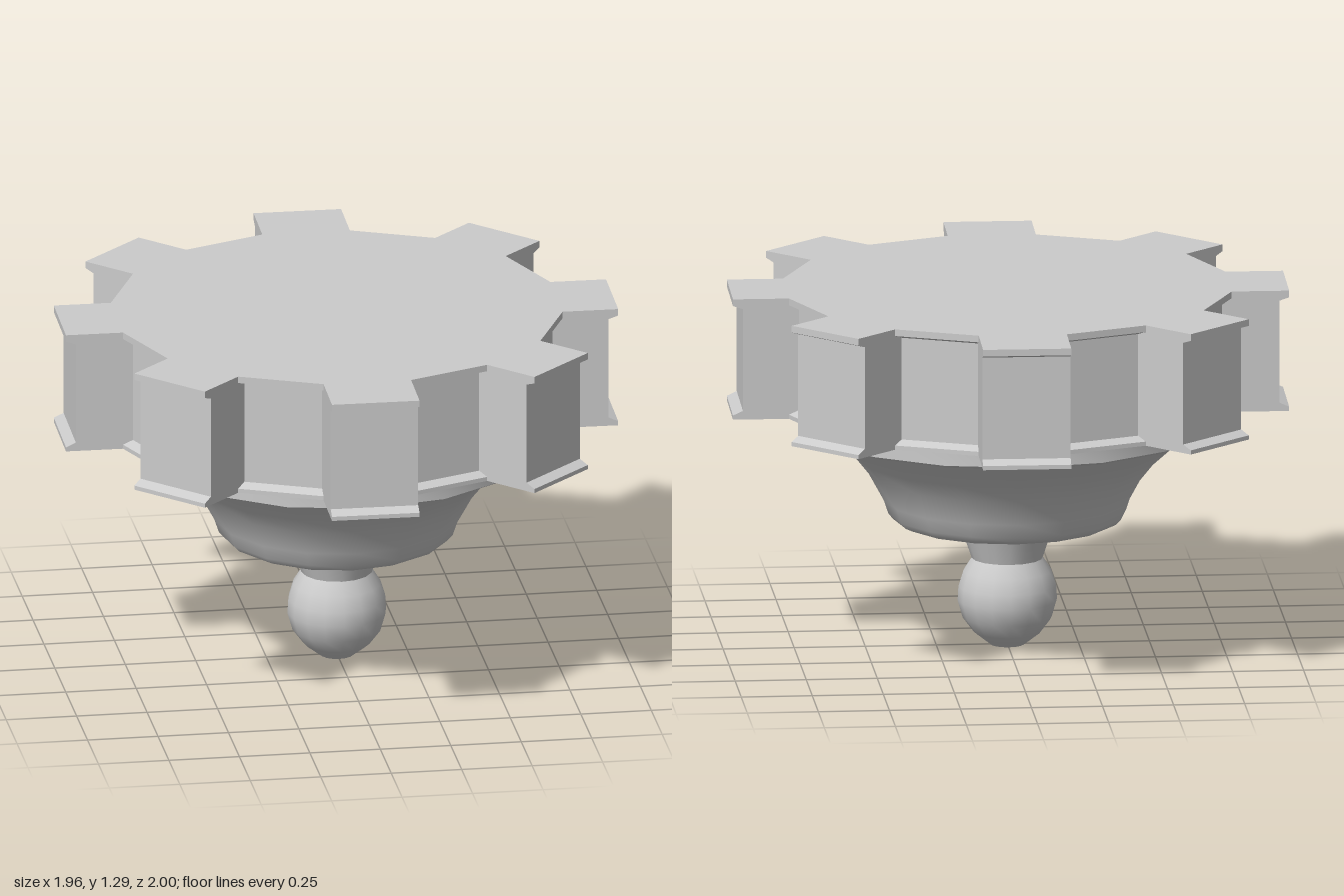
import * as THREE from 'three';
import { toCreasedNormals } from 'three/addons/utils/BufferGeometryUtils.js';

const material = new THREE.MeshStandardMaterial({ color: 0xcccccc });

function addMesh(group, name, geometry) {
  const mesh = new THREE.Mesh(geometry, material);
  mesh.name = name;
  group.add(mesh);
}

// Turned part, profile listed from bottom to top as [radius, y]
function turned(profile, sides = 16, crease = 0.6) {
  const points = profile.map(([r, y]) => new THREE.Vector2(r, y));
  return toCreasedNormals(new THREE.LatheGeometry(points, sides), crease);
}

// Reach of each of the eight teeth, starting at +x and turning towards +z
const TOOTH_REACH = [0.975, 0.986, 0.993, 0.972, 0.98, 0.987, 1.0, 0.974];
const ROOT = 0.778, HALF_WIDTH = 0.155, TWIST = 0.015;

// Toothed outline; the inset pulls points inward along each tooth's axis
function outline(inset, y) {
  const ring = [];
  TOOTH_REACH.forEach((reach, i) => {
    const a = TWIST + (i * Math.PI) / 4, c = Math.cos(a), s = Math.sin(a);
    for (const [r, w] of [[ROOT, -1], [reach, -1], [reach, 1], [ROOT, 1]]) {
      const u = r - inset, v = w * HALF_WIDTH;
      ring.push([u * c - v * s, y, u * s + v * c]);
    }
  });
  return ring;
}

// Toothed disc lofted through the rings, with flat caps
function gearGeometry() {
  const levels = [[0, 0.857], [0, 0.872], [0.035, 0.888], [0.035, 1.254], [0, 1.266], [0, 1.29]];
  const rings = levels.map(([inset, y]) => outline(inset, y));
  const n = rings[0].length, top = rings[rings.length - 1], bottom = rings[0];
  const pos = [];
  const tri = (...corners) => corners.forEach((p) => pos.push(...p));
  for (let i = 0; i < n; i++) {
    const j = (i + 1) % n;
    for (let k = 0; k < rings.length - 1; k++) {
      const lo = rings[k], hi = rings[k + 1];
      tri(lo[i], hi[i], hi[j]);
      tri(lo[i], hi[j], lo[j]);
    }
    tri([0, top[0][1], 0], top[j], top[i]);
    tri([0, bottom[0][1], 0], bottom[i], bottom[j]);
  }
  const geometry = new THREE.BufferGeometry();
  geometry.setAttribute('position', new THREE.Float32BufferAttribute(pos, 3));
  geometry.computeVertexNormals();
  return geometry;
}

export function createModel() {
  const group = new THREE.Group();
  group.name = 'toothedKnob';

  addMesh(group, 'toothedDisc', gearGeometry());

  // Rim under the disc
  addMesh(group, 'rim', turned([[0.64, 0.79], [0.71, 0.79], [0.728, 0.8], [0.728, 0.86]]));

  // Flared bowl with a rounded lower edge
  addMesh(group, 'bowl', turned([
    [0, 0.443], [0.375, 0.443], [0.4, 0.455], [0.418, 0.475], [0.435, 0.525],
    [0.487, 0.62], [0.535, 0.68], [0.59, 0.73], [0.665, 0.792],
  ]));

  // Tapered neck and ball tip
  addMesh(group, 'neck', turned([[0.125, 0.31], [0.17, 0.446]]));
  addMesh(group, 'ballTip', turned([
    [0, 0], [0.06, 0], [0.118, 0.045], [0.157, 0.097], [0.175, 0.16],
    [0.172, 0.21], [0.155, 0.265], [0.125, 0.312],
  ]));

  return group;
}
